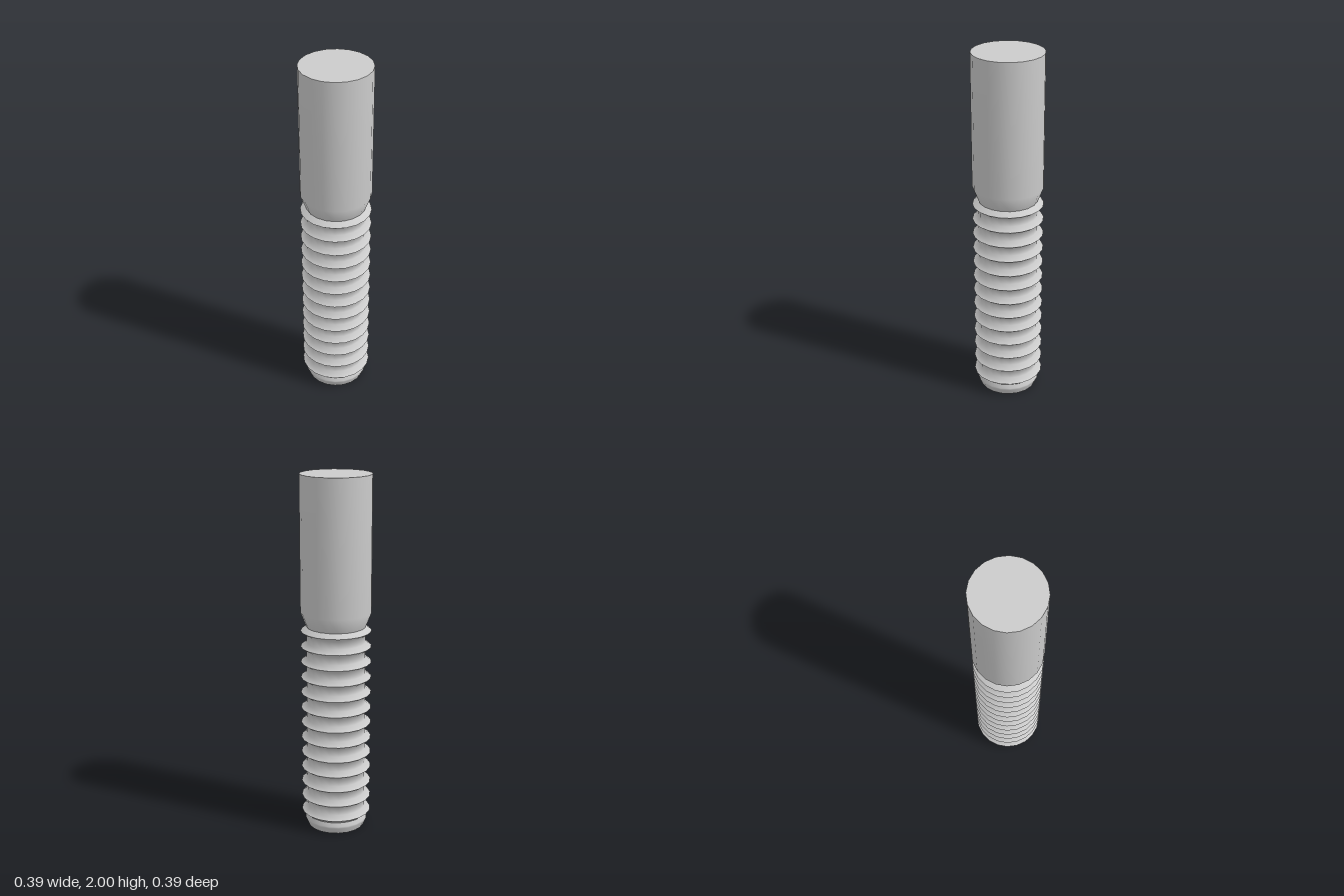
import * as THREE from 'three';

const SIDES = 20;
const R = 0.195;       // shank and thread crest radius
const CORE = 0.163;    // thread root radius
const PITCH = 0.0883;
const FLANK = 0.023;   // height of one thread flank
const FIRST = 0.09;    // height of the lowest crest
const CRESTS = 13;

const material = new THREE.MeshStandardMaterial({ color: 0xcccccc });

// Turned part from [radius, height] pairs listed bottom to top
function turned(name, profile) {
  const points = profile.map(([r, y]) => new THREE.Vector2(r, y));
  const mesh = new THREE.Mesh(new THREE.LatheGeometry(points, SIDES), material);
  mesh.name = name;
  return mesh;
}

// Flat end disc, facing up or down
function endCap(name, radius, y, up) {
  const geometry = new THREE.CircleGeometry(radius, SIDES);
  geometry.rotateX(up ? -Math.PI / 2 : Math.PI / 2);
  const mesh = new THREE.Mesh(geometry, material);
  mesh.name = name;
  mesh.position.y = y;
  return mesh;
}

export function createModel() {
  const model = new THREE.Group();
  model.name = 'threadedStud';

  // Slightly bulged tip below the threads
  model.add(endCap('tipCap', 0.16, 0, false));
  model.add(turned('tip', [[0.16, 0], [0.175, 0.035], [0.175, 0.045], [0.166, FIRST - FLANK]]));

  // Threads: each groove is smooth, each crest is a sharp edge
  const thread = new THREE.Group();
  thread.name = 'thread';
  thread.add(turned('lowestFlank', [[0.166, FIRST - FLANK], [R, FIRST]]));
  for (let i = 0; i < CRESTS - 1; i++) {
    const y = FIRST + i * PITCH;
    thread.add(turned('threadGroove', [
      [R, y], [CORE, y + FLANK], [CORE, y + PITCH - FLANK], [R, y + PITCH],
    ]));
  }
  const top = FIRST + (CRESTS - 1) * PITCH;
  thread.add(turned('highestFlank', [[R, top], [CORE, top + FLANK]]));
  model.add(thread);

  // Plain shank, tapering into the thread
  model.add(turned('shank', [[CORE, top + FLANK], [R, 1.255], [R, 2]]));
  model.add(endCap('shankCap', R, 2, true));

  return model;
}
